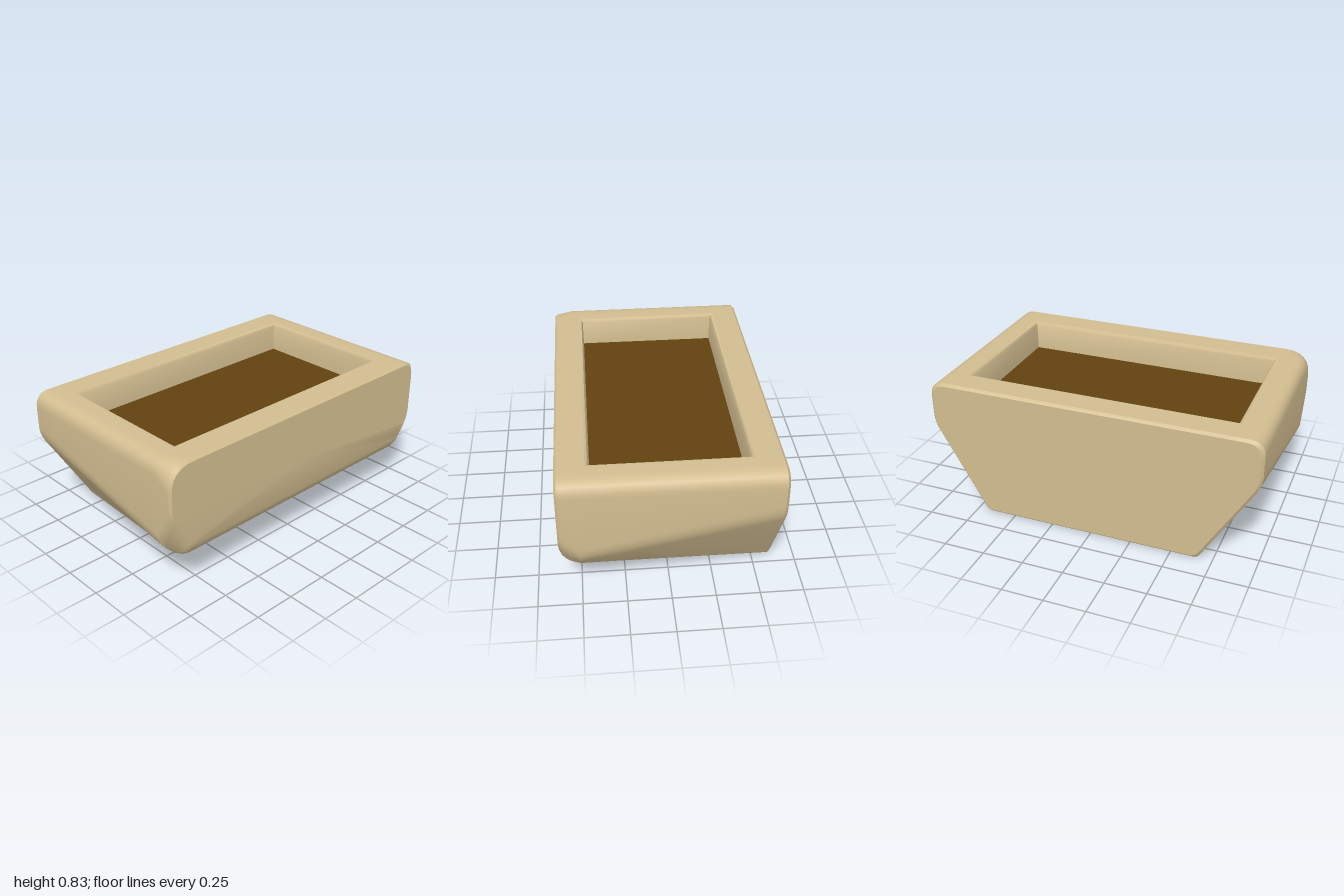
import * as THREE from 'three';
import { toCreasedNormals } from 'three/addons/utils/BufferGeometryUtils.js';

const TOP = 0.83, OPEN_X = 0.45, OPEN_Z = 0.83, SOIL_Y = 0.65;

// Rounds one profile corner with a short curve
function roundCorner(prev, p, next, r, out) {
  const toward = (q) => {
    const d = q.clone().sub(p);
    return p.clone().addScaledVector(d.normalize(), Math.min(r, q.distanceTo(p) / 2.01));
  };
  const curve = new THREE.QuadraticBezierCurve(r > 0.06 ? p.clone().add(prev).sub(prev) : p, p, p);
  curve.v0 = prev.distanceTo(p) < 0.2 && r > 0.06
    ? p.clone().add(prev.clone().sub(p).normalize().multiplyScalar(Math.min(r, prev.distanceTo(p) * 0.95)))
    : toward(prev);
  curve.v2 = next.distanceTo(p) < 0.2 && r > 0.06
    ? p.clone().add(next.clone().sub(p).normalize().multiplyScalar(Math.min(r, next.distanceTo(p) * 0.95)))
    : toward(next);
  out.push(...curve.getPoints(6));
}

// One cross-section (z, y), running front rim -> underside -> back rim
function section({ x, frontKnee, backKnee, bottomY, bottomZ, frontR, inset }) {
  const v = (z, y) => new THREE.Vector2(z, y);
  const top = TOP - inset, side = 1 - inset, bz = bottomZ - inset / 2, by = bottomY + inset;
  const c = [
    v(OPEN_Z, top), v(side, top), v(side, frontKnee), v(bz, by),
    v(-bz - 0.02, by), v(-side, backKnee), v(-side, top), v(-OPEN_Z, top),
  ];
  const radii = [0, frontR, 0.06, 0.03, 0.03, 0.06, 0.09, 0];
  const pts = [c[0]];
  for (let i = 1; i < 7; i++) roundCorner(c[i - 1], c[i], c[i + 1], radii[i], pts);
  pts.push(c[7]);
  return pts.map((p) => new THREE.Vector3(x, p.y, p.x));
}

// Skins a list of rings; closed(i) tells whether span i wraps around
function loft(rings, closed, caps) {
  const pos = [];
  const tri = (...ps) => ps.forEach((p) => pos.push(p.x, p.y, p.z));
  const n = rings[0].length;
  for (let i = 0; i < rings.length - 1; i++) {
    const a = rings[i], b = rings[i + 1];
    for (let j = 0; j < (closed(i) ? n : n - 1); j++) {
      const k = (j + 1) % n;
      tri(a[j], a[k], b[k]);
      tri(a[j], b[k], b[j]);
    }
  }
  if (caps) {
    const first = rings[0], last = rings[rings.length - 1];
    const mid = (r) => new THREE.Vector3(r[0].x, 0.5, 0);
    for (let j = 0; j < n; j++) {
      const k = (j + 1) % n;
      tri(mid(first), first[k], first[j]);
      tri(mid(last), last[j], last[k]);
    }
  }
  const g = new THREE.BufferGeometry();
  g.setAttribute('position', new THREE.Float32BufferAttribute(pos, 3));
  return toCreasedNormals(g, 0.6);
}

export function createModel() {
  const model = new THREE.Group();
  model.name = 'planter';
  const clay = new THREE.MeshStandardMaterial({ color: 0xd2bd90 });
  clay.name = 'sandy clay';
  const earth = new THREE.MeshStandardMaterial({ color: 0x624210 });
  earth.name = 'dark earth';
  const add = (name, geometry, material) => {
    const mesh = new THREE.Mesh(geometry, material);
    mesh.name = name;
    model.add(mesh);
    return mesh;
  };

  // Long body: the underside rises and the side slopes shrink towards +x
  const body = (x, inset = 0) => {
    const t = (x + 0.6) / 1.1;
    const knee = THREE.MathUtils.lerp(0.56, 0.335, t);
    return {
      x, inset, frontKnee: knee, backKnee: knee, frontR: 0.09,
      bottomY: Math.max(0, 0.21 * t), bottomZ: THREE.MathUtils.lerp(0.66, 0.88, t),
    };
  };
  const specs = [body(-0.613, 0.015), body(-0.598)];
  for (let i = 0; i <= 6; i++) specs.push(body(-OPEN_X + (i * 2 * OPEN_X) / 6));
  specs.push(body(0.5));
  // Chamfered corners and rounded lower edge at the shallow end
  for (const [x, t, bottomY, inset] of [
    [0.55, 0.45, 0.228, 0], [0.58, 0.72, 0.25, 0], [0.6, 0.92, 0.28, 0], [0.613, 1, 0.3, 0.012],
  ]) {
    specs.push({
      x, inset, bottomY, bottomZ: 0.88, frontR: 0.09 + 0.07 * t,
      frontKnee: 0.335 + 0.2 * t, backKnee: 0.335 + 0.1 * t,
    });
  }
  add('body', loft(specs.map(section), (i) => specs[i + 1].x <= -OPEN_X + 1e-6 || specs[i].x >= OPEN_X - 1e-6, true), clay);

  // Softened inner lip and basin walls
  const rings = [[0, TOP], [0.012, TOP - 0.005], [0.02, TOP - 0.02], [0.022, SOIL_Y - 0.01]].map(([d, y]) => {
    const x = OPEN_X - d, z = OPEN_Z - d;
    return [[x, z], [x, -z], [-x, -z], [-x, z]].map(([px, pz]) => new THREE.Vector3(px, y, pz));
  });
  add('basinWalls', loft(rings, () => true, false), clay);

  // Soil bed
  const soil = add('soil', new THREE.PlaneGeometry(0.86, 1.62), earth);
  soil.rotation.x = -Math.PI / 2;
  soil.position.y = SOIL_Y;
  return model;
}
